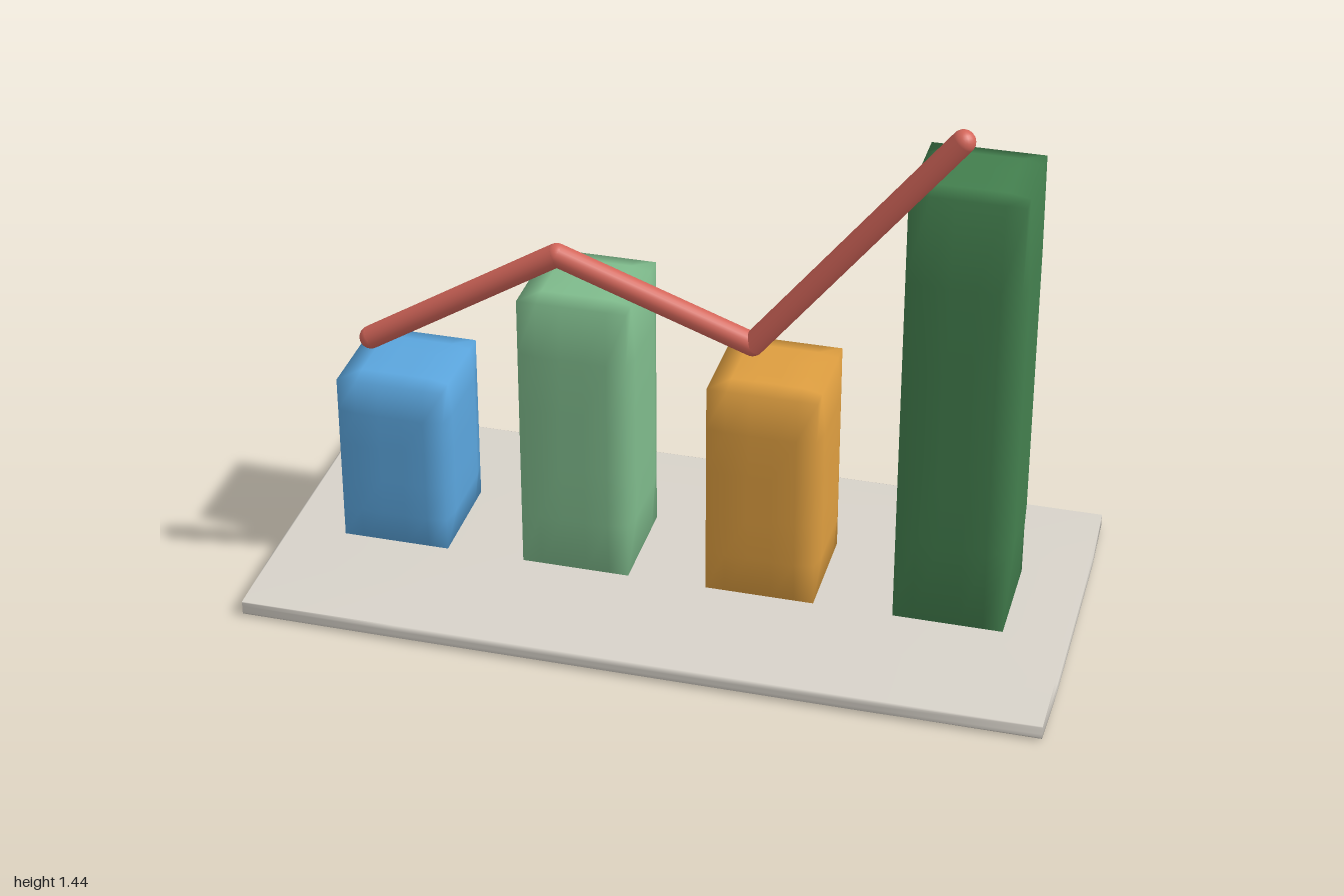
import * as THREE from 'three';
import { mergeVertices } from 'three/addons/utils/BufferGeometryUtils.js';

const flat = (name, color) => {
  const m = new THREE.MeshStandardMaterial({ color });
  m.name = name;
  return m;
};

// Smooth-shaded box whose edges and corners are pulled slightly inward
function softBox(w, h, d, pull) {
  const geo = new THREE.BoxGeometry(2, 2, 2, 5, 5, 5);
  geo.deleteAttribute('normal');
  geo.deleteAttribute('uv');
  const merged = mergeVertices(geo);
  const pos = merged.attributes.position;
  const half = [w / 2, h / 2, d / 2];
  for (let i = 0; i < pos.count; i++) {
    const p = [pos.getX(i), pos.getY(i), pos.getZ(i)];
    const onEdge = p.filter((c) => Math.abs(c) > 0.99).length > 1;
    const q = p.map((c, a) =>
      c * half[a] - (onEdge && Math.abs(c) > 0.99 ? Math.sign(c) * pull : 0));
    pos.setXYZ(i, ...q);
  }
  merged.computeVertexNormals();
  return merged;
}

export function createModel() {
  const group = new THREE.Group();
  const add = (name, geo, mat, x, y, z) => {
    const mesh = new THREE.Mesh(geo, mat);
    mesh.name = name;
    mesh.position.set(x, y, z);
    group.add(mesh);
    return mesh;
  };

  // Base plate
  add('base', softBox(2, 0.047, 0.94, 0.006), flat('warm grey', 0xd8d3ca), 0, 0.0235, 0);

  // Four bars: name, colour name, colour, top height
  const bars = [
    ['firstBar', 'blue', 0x5ba6de, 0.52],
    ['secondBar', 'light green', 0x7fbb8c, 0.81],
    ['thirdBar', 'orange', 0xde9e40, 0.637],
    ['fourthBar', 'dark green', 0x437f4e, 1.224],
  ];
  const bottom = 0.049;
  bars.forEach(([name, colour, hex, top], i) => {
    const h = top - bottom;
    add(name, softBox(0.29, h, 0.29, 0.009), flat(colour, hex),
      -0.705 + i * 0.47, bottom + h / 2, 0);
  });

  // Trend line: rods with round joints and ends
  const red = flat('coral red', 0xd4665a);
  const radius = 0.028;
  const points = [[-0.705, 0.71], [-0.235, 1.0], [0.235, 0.83], [0.705, 1.415]]
    .map(([x, y]) => new THREE.Vector3(x, y, 0.237));
  const up = new THREE.Vector3(0, 1, 0);
  points.forEach((p, i) => {
    add('trendJoint', new THREE.SphereGeometry(radius, 20, 14), red, p.x, p.y, p.z);
    if (i === 0) return;
    const dir = p.clone().sub(points[i - 1]);
    const mid = p.clone().add(points[i - 1]).multiplyScalar(0.5);
    const rod = add('trendRod',
      new THREE.CylinderGeometry(radius, radius, dir.length(), 20, 1, true),
      red, mid.x, mid.y, mid.z);
    rod.quaternion.setFromUnitVectors(up, dir.normalize());
  });

  return group;
}
